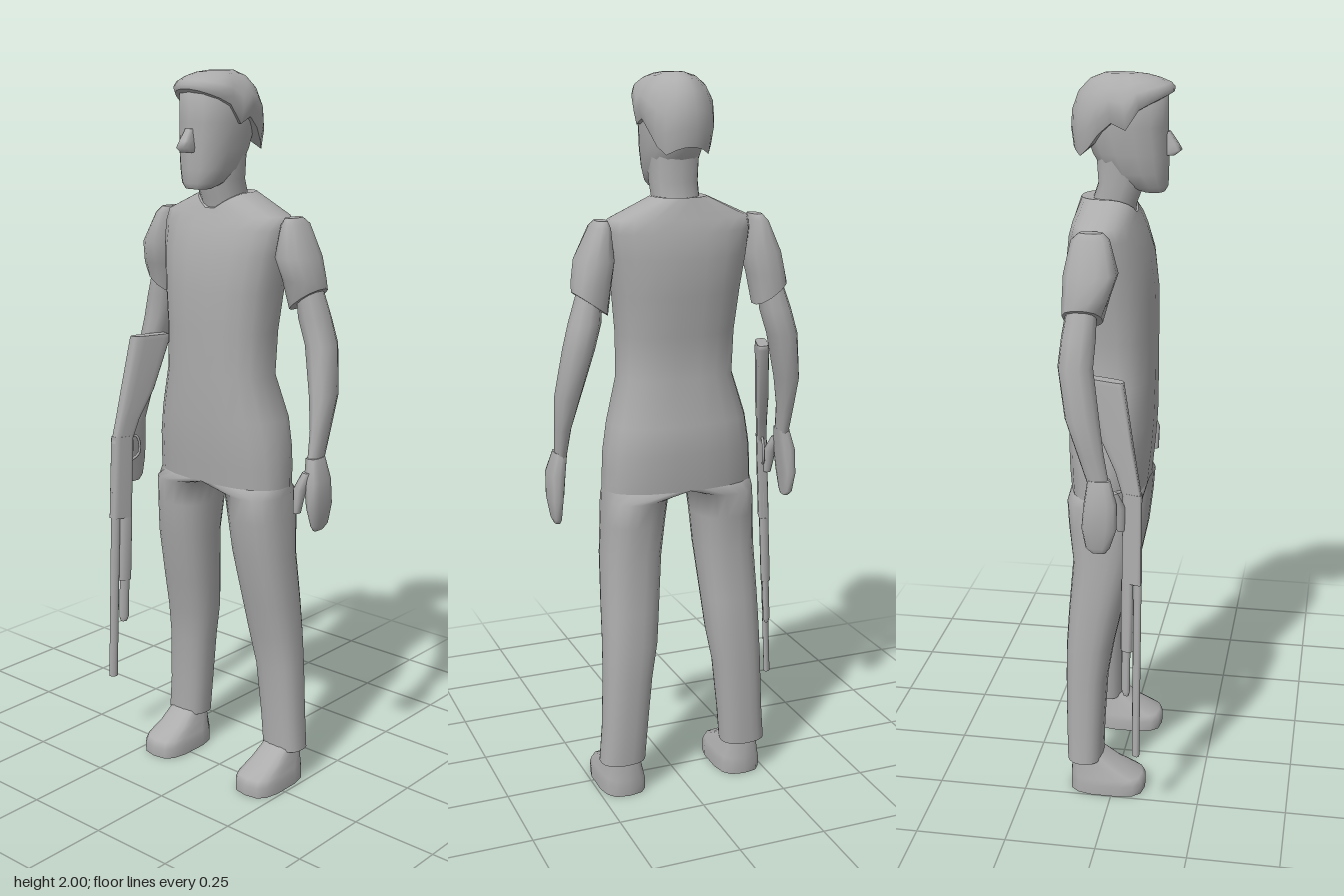
import * as THREE from 'three';

const grey = new THREE.MeshStandardMaterial({ color: 0xacacac });
grey.name = 'plain grey';

// Loft through rings [y, x0, x1, z0, z1]; p squares the section, warp may move each point.
function loft(name, rings, { n = 14, p = 2.3, warp = null } = {}) {
  rings = [...rings].sort((a, b) => a[0] - b[0]);
  const pos = [], idx = [];
  const bend = (c) => Math.sign(c) * Math.pow(Math.abs(c), 2 / p);
  rings.forEach(([y, x0, x1, z0, z1], j) => {
    for (let i = 0; i < n; i++) {
      const a = ((i + 0.5) / n) * Math.PI * 2;
      const v = new THREE.Vector3(
        (x0 + x1) / 2 + bend(Math.cos(a)) * (x1 - x0) / 2, y,
        (z0 + z1) / 2 + bend(Math.sin(a)) * (z1 - z0) / 2);
      if (warp) warp(v, j, a);
      pos.push(v.x, v.y, v.z);
    }
  });
  for (let j = 0; j < rings.length - 1; j++) {
    for (let i = 0; i < n; i++) {
      const a = j * n + i, b = j * n + (i + 1) % n;
      idx.push(a, a + n, b, b, a + n, b + n);
    }
  }
  // End caps with their own corners, so the rims stay sharp
  for (const top of [false, true]) {
    const from = top ? (rings.length - 1) * n : 0, base = pos.length / 3;
    const c = [0, 0, 0];
    for (let i = 0; i < n; i++) {
      for (let k = 0; k < 3; k++) {
        const q = pos[(from + i) * 3 + k];
        pos.push(q);
        c[k] += q / n;
      }
    }
    pos.push(...c);
    for (let i = 0; i < n; i++) {
      const a = base + i, b = base + (i + 1) % n;
      if (top) idx.push(a, base + n, b);
      else idx.push(a, b, base + n);
    }
  }
  const g = new THREE.BufferGeometry();
  g.setAttribute('position', new THREE.Float32BufferAttribute(pos, 3));
  g.setIndex(idx);
  g.computeVertexNormals();
  const mesh = new THREE.Mesh(g, grey);
  mesh.name = name;
  return mesh;
}

// Symmetric rings [y, halfWidth, z0, z1]
const sym = (rings) => rings.map(([y, w, z0, z1]) => [y, -w, w, z0, z1]);

// Hairline height from nape (-1) to brow (1), with a lock before the ear
const hairline = [[-1, 1.815], [-0.75, 1.79], [-0.45, 1.845], [-0.15, 1.885], [0.1, 1.86], [0.4, 1.92], [1, 1.955]];
function hairlineAt(f) {
  const k = Math.max(1, hairline.findIndex(([s]) => s >= f));
  const [f0, y0] = hairline[k - 1], [f1, y1] = hairline[k];
  return y0 + (y1 - y0) * (f - f0) / (f1 - f0);
}

function makeHead() {
  const head = new THREE.Group();
  head.name = 'head';
  head.add(loft('neck', sym([[1.6, 0.06, -0.09, 0.025], [1.67, 0.063, -0.085, 0.035], [1.72, 0.065, -0.068, 0.055], [1.82, 0.07, -0.075, 0.07]])));
  head.add(loft('face', sym([
    [1.7, 0.035, 0.05, 0.108], [1.715, 0.052, 0.0, 0.117], [1.75, 0.068, -0.055, 0.118],
    [1.8, 0.077, -0.085, 0.119], [1.87, 0.084, -0.11, 0.116], [1.95, 0.082, -0.1, 0.116], [1.975, 0.05, -0.07, 0.07],
  ])));
  head.add(loft('nose', sym([
    [1.795, 0.018, 0.1, 0.135], [1.808, 0.02, 0.1, 0.152], [1.825, 0.017, 0.1, 0.142], [1.855, 0.012, 0.1, 0.121],
  ]), { n: 8, p: 4 }));

  // Every hair ring blends from the hairline up to the crown
  const levels = [0, 0.25, 0.5, 0.75, 0.92, 1];
  head.add(loft('hair', sym([
    [0, 0.094, -0.132, 0.13], [1, 0.102, -0.138, 0.132], [2, 0.098, -0.135, 0.122],
    [3, 0.079, -0.118, 0.095], [4, 0.054, -0.088, 0.065], [5, 0.025, -0.05, 0.035],
  ]), {
    n: 24, p: 2.1,
    warp(v, j, a) { v.y = THREE.MathUtils.lerp(hairlineAt(Math.sin(a)), 2, levels[j]); },
  }));
  return head;
}

function makeTorso() {
  return loft('torso', sym([
    [0.895, 0.215, -0.137, 0.073], [0.95, 0.213, -0.142, 0.079], [1.0, 0.21, -0.144, 0.084], [1.08, 0.197, -0.145, 0.09],
    [1.2, 0.164, -0.115, 0.092], [1.32, 0.166, -0.125, 0.092], [1.43, 0.177, -0.14, 0.092], [1.53, 0.192, -0.147, 0.08],
    [1.595, 0.201, -0.138, 0.058], [1.63, 0.195, -0.128, 0.043], [1.685, 0.074, -0.112, 0.037],
  ]), {
    n: 20, p: 2.4,
    // V-shaped neckline
    warp(v, j, a) { if (j === 10 && Math.sin(a) > 0) v.y -= 0.05 * (1 - Math.abs(v.x) / 0.074); },
  });
}

// Limbs are laid out for the left side; s = -1 mirrors the rings
function makeSide(s, label) {
  const side = new THREE.Group();
  side.name = label + 'Limbs';
  const add = (name, rings, opt) => side.add(loft(label + name,
    s > 0 ? rings : rings.map(([y, x0, x1, z0, z1]) => [y, -x1, -x0, z0, z1]), opt));

  // Sleeve hem rises towards the outside
  add('Sleeve', [
    [1.63, 0.203, 0.235, -0.08, -0.018], [1.613, 0.197, 0.25, -0.1, 0.0], [1.53, 0.186, 0.29, -0.117, 0.024],
    [1.47, 0.198, 0.302, -0.118, 0.004], [1.418, 0.212, 0.304, -0.118, -0.013],
  ], { n: 12, warp(v, j) { if (j === 0) v.y += (Math.abs(v.x) - 0.26) * 0.7; } });
  add('Forearm', [
    [1.46, 0.225, 0.287, -0.104, -0.027], [1.37, 0.232, 0.317, -0.118, -0.028], [1.3, 0.253, 0.336, -0.124, -0.032],
    [1.17, 0.288, 0.354, -0.102, -0.012], [1.08, 0.308, 0.35, -0.07, 0.0], [0.99, 0.316, 0.346, -0.04, 0.016],
  ], { n: 10 });
  add('Hand', [
    [1.01, 0.314, 0.349, -0.042, 0.018], [0.95, 0.32, 0.367, -0.05, 0.036], [0.88, 0.33, 0.366, -0.056, 0.036],
    [0.825, 0.335, 0.358, -0.046, 0.018], [0.81, 0.337, 0.351, -0.03, 0.006],
  ], { n: 10, p: 3 });
  add('Thumb', [
    [0.975, 0.318, 0.343, 0.005, 0.036], [0.93, 0.302, 0.337, 0.02, 0.056], [0.865, 0.305, 0.325, 0.032, 0.054],
  ], { n: 8 });
  // The top ring is folded into half of the hip section, so both legs meet the torso
  add('TrouserLeg', [
    [0.895, 0, 0.215, -0.137, 0.073], [0.87, 0.038, 0.216, -0.135, 0.069], [0.8, 0.047, 0.219, -0.13, 0.063],
    [0.7, 0.056, 0.225, -0.118, 0.05], [0.55, 0.07, 0.231, -0.13, 0.018], [0.45, 0.079, 0.234, -0.136, -0.004],
    [0.35, 0.097, 0.237, -0.137, -0.02], [0.2, 0.112, 0.243, -0.135, -0.028], [0.1, 0.12, 0.251, -0.132, -0.03],
  ], { n: 20, p: 2.4, warp(v, j) { if (j === 8) v.x = s * Math.max(0, 2 * (Math.abs(v.x) - 0.1075)); } });
  add('Shoe', [
    [0, 0.112, 0.246, -0.125, 0.09], [0.03, 0.112, 0.246, -0.126, 0.092], [0.048, 0.117, 0.242, -0.125, 0.082],
    [0.075, 0.126, 0.235, -0.122, 0.025], [0.12, 0.138, 0.228, -0.118, -0.04],
  ], { p: 3 });
  return side;
}

function makeGun() {
  const gun = new THREE.Group();
  gun.name = 'longGun';
  // Upright sections [y, halfThickness, z0, z1], leaned and turned to follow the hand
  const lean = (v) => { v.x += -0.335 + (v.y - 0.21) * 0.045 - 0.35 * (v.z - 0.04); };
  const add = (name, rings, n, p) => gun.add(loft(name, sym(rings), { n, p, warp: lean }));
  add('stock', [[1.262, 0.017, -0.058, 0.046], [1.25, 0.019, -0.062, 0.048], [1.1, 0.019, -0.015, 0.073], [1.02, 0.016, 0.025, 0.087], [0.95, 0.015, 0.048, 0.1]], 12, 4);
  add('receiver', [[0.97, 0.016, 0.046, 0.098], [0.72, 0.016, 0.045, 0.1]], 12, 5);
  add('foreGrip', [[0.72, 0.015, 0.042, 0.076], [0.52, 0.015, 0.042, 0.076]], 10, 2.5);
  add('barrel', [[0.8, 0.011, 0.077, 0.1], [0.21, 0.01, 0.077, 0.099]], 10, 2);
  add('magazineTube', [[0.8, 0.011, 0.045, 0.07], [0.4, 0.011, 0.045, 0.07], [0.385, 0.007, 0.05, 0.066]], 10, 2);

  const path = new THREE.CatmullRomCurve3([[0.97, 0.05], [0.96, 0.025], [0.91, 0.02], [0.89, 0.046]].map(([y, z]) => {
    const v = new THREE.Vector3(0, y, z);
    lean(v);
    return v;
  }));
  const guard = new THREE.Mesh(new THREE.TubeGeometry(path, 10, 0.004, 6), grey);
  guard.name = 'triggerGuard';
  gun.add(guard);
  return gun;
}

export function createModel() {
  const model = new THREE.Group();
  model.name = 'standingMan';
  const body = new THREE.Group();
  body.name = 'body';
  body.add(makeHead(), makeTorso(), makeSide(1, 'left'), makeSide(-1, 'right'));
  // The body stands slightly off centre, making room for the gun
  body.position.x = -0.004;
  model.add(body, makeGun());
  return model;
}
